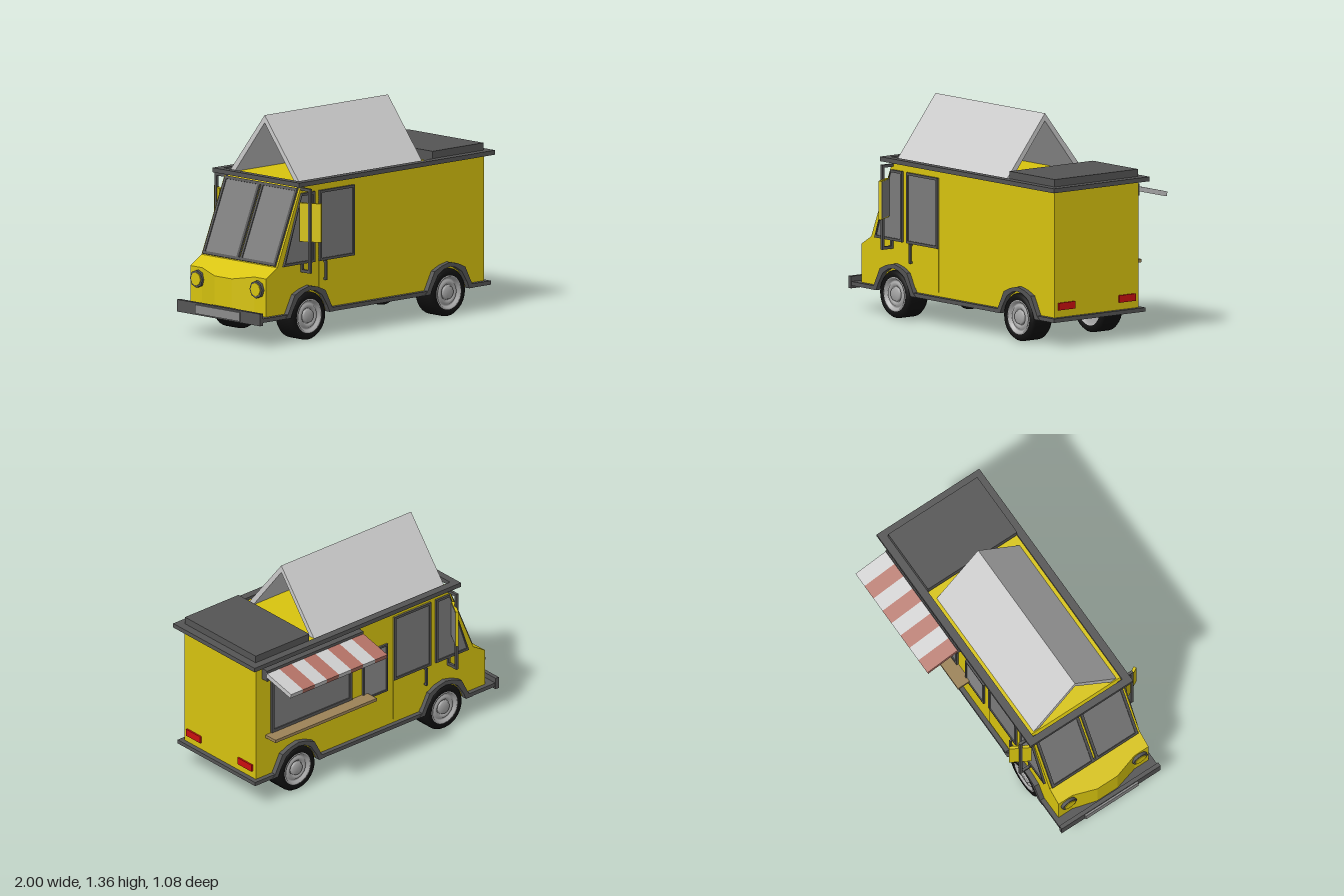
import * as THREE from 'three';

const mat = (color, opts = {}) => new THREE.MeshStandardMaterial({ color, ...opts });
const YELLOW = mat(0xd8c40f), DARK = mat(0x555555), GREY = mat(0xcccccc), GLASS = mat(0x7c7c7c);
const RED = mat(0xcc1010), STRIPE = mat(0xb27165), TAN = mat(0x9c8358), PLATE = mat(0x8c8c8c);
const TYRE = mat(0x101010, { side: THREE.DoubleSide }), RIM = mat(0xa8a8a8, { side: THREE.DoubleSide });
const W = 0.333; // half width of the body

export function createModel() {
  const truck = new THREE.Group();
  truck.name = 'foodTruck';
  truck.position.z = 0.07;

  const add = (name, geo, material, parent = truck) => {
    const m = new THREE.Mesh(geo, material);
    m.name = name;
    parent.add(m);
    return m;
  };
  // box given by its extents on each axis
  const box = (name, material, [x0, x1], [y0, y1], [z0, z1], parent = truck) => {
    const m = add(name, new THREE.BoxGeometry(x1 - x0, y1 - y0, Math.abs(z1 - z0)), material, parent);
    m.position.set((x0 + x1) / 2, (y0 + y1) / 2, (z0 + z1) / 2);
    return m;
  };
  const shapeOf = pts => new THREE.Shape(pts.map(p => new THREE.Vector2(...p)));
  const prism = (shape, z0, z1) => new THREE.ExtrudeGeometry(shape,
    { depth: Math.abs(z1 - z0), bevelEnabled: false }).translate(0, 0, Math.min(z0, z1));

  // body: side profile extruded across the width
  add('body', prism(shapeOf([[0.95, 0.165], [0.95, 0.972], [-0.602, 0.972], [-0.81, 0.475],
    [-0.905, 0.417], [-0.905, 0.165]]), -W, W), YELLOW);

  // nose: bulging plan whose top follows the hood slope
  const nose = new THREE.ExtrudeGeometry(shapeOf([[-0.9, -0.23], [-0.9, 0.23], [-0.905, 0.23],
    [-0.948, 0.075], [-0.948, -0.075], [-0.905, -0.23]]), { depth: 1, bevelEnabled: false });
  nose.rotateX(-Math.PI / 2);
  const np = nose.attributes.position;
  for (let i = 0; i < np.count; i++)
    np.setY(i, np.getY(i) < 0.5 ? 0.165 : 0.475 + 0.61 * (np.getX(i) + 0.81));
  nose.computeVertexNormals();
  add('nose', nose, YELLOW);

  // roof rim with an open deck, rear roof box
  const rim = shapeOf([[-0.67, -0.38], [1, -0.38], [1, 0.38], [-0.67, 0.38]]);
  rim.holes.push(new THREE.Path([[-0.625, -0.33], [-0.625, 0.33], [0.52, 0.33], [0.52, -0.33]]
    .map(p => new THREE.Vector2(...p))));
  add('roofRim', prism(rim, 0.962, 0.99).rotateX(-Math.PI / 2), DARK);
  box('roofBox', DARK, [0.515, 0.948], [0.985, 1.036], [-0.33, 0.33]);

  // tent-shaped sign board on the roof
  const sign = add('roofBoard', prism(shapeOf([[-0.308, 0.97], [-0.265, 0.97], [0, 1.308],
    [0.265, 0.97], [0.308, 0.97], [0, 1.355]]), -0.525, 0.525), GREY);
  sign.rotation.y = Math.PI / 2;
  sign.position.x = -0.07;

  // framed window lying on a side wall
  const sideWindow = (name, pts, s, t = 0.016, glass = GLASS) => {
    const g = new THREE.Group();
    g.name = name;
    truck.add(g);
    const xs = pts.map(p => p[0]), ys = pts.map(p => p[1]);
    const x0 = Math.min(...xs), x1 = Math.max(...xs), y0 = Math.min(...ys), y1 = Math.max(...ys);
    const cx = (x0 + x1) / 2, cy = (y0 + y1) / 2;
    const inner = pts.map(([x, y]) => [cx + (x - cx) * (1 - 2 * t / (x1 - x0)),
      cy + (y - cy) * (1 - 2 * t / (y1 - y0))]);
    const frame = shapeOf(pts);
    frame.holes.push(new THREE.Path(inner.map(p => new THREE.Vector2(...p))));
    add('frame', prism(frame, s * W, s * (W + 0.014)), DARK, g);
    add('pane', prism(shapeOf(inner), s * W, s * (W + 0.007)), glass, g);
  };
  const rect = (x0, x1, y0, y1) => [[x0, y0], [x1, y0], [x1, y1], [x0, y1]];

  for (const s of [1, -1]) {
    sideWindow('cabWindow', [[-0.765, 0.476], [-0.5, 0.476], [-0.5, 0.914], [-0.61, 0.914]], s);
    // door with window and grab handle
    box('door', YELLOW, [-0.46, -0.16], [0.205, 0.914], [s * (W - 0.01), s * (W + 0.004)]);
    sideWindow('doorWindow', rect(-0.46, -0.16, 0.476, 0.914), s);
    box('doorHandle', DARK, [-0.42, -0.408], [0.355, 0.475], [s * (W + 0.014), s * (W + 0.026)]);
    for (const y of [0.355, 0.463])
      box('handleMount', DARK, [-0.42, -0.408], [y, y + 0.012], [s * W, s * (W + 0.02)]);

    // mirror arm and angled mirror
    const bar = [-0.614, -0.597];
    box('mirrorArm', DARK, bar, [0.425, 0.95], [s * 0.402, s * 0.42]);
    for (const y of [0.425, 0.932]) box('mirrorBracket', DARK, bar, [y, y + 0.018], [s * 0.3, s * 0.42]);
    box('mirrorBracket', DARK, bar, [0.425, 0.48], [s * W, s * 0.347]);
    const mirror = new THREE.Group();
    mirror.name = 'mirror';
    mirror.position.set(-0.597, 0.74, s * 0.407);
    mirror.rotation.y = s * 0.52;
    truck.add(mirror);
    box('mirrorShell', YELLOW, [-0.01, 0.008], [-0.12, 0.12], [-0.068, 0.068], mirror);
    box('mirrorGlass', GLASS, [0.006, 0.01], [-0.114, 0.114], [-0.064, 0.064], mirror);

    // headlight
    const lamp = (name, r, h, x, m) => {
      const l = add(name, new THREE.CylinderGeometry(r, r, h, 8), m);
      l.rotation.z = Math.PI / 2;
      l.position.set(x, 0.345, s * 0.262);
    };
    lamp('headlightRing', 0.055, 0.025, -0.912, DARK);
    lamp('headlightLens', 0.042, 0.03, -0.914, YELLOW);

    box('tailLight', RED, [0.94, 0.961], [0.225, 0.27], [s * 0.175, s * 0.305]);

    // skirt segments between the wheels
    for (const x of [[-0.965, -0.74], [-0.38, 0.45], [0.81, 0.98]])
      box('sideSkirt', DARK, x, [0.155, 0.18], [s * (W - 0.04), s * 0.362]);

    // wheels with faceted arches
    for (const x of [-0.56, 0.63]) {
      const arch = shapeOf([[-0.215, 0.155], [-0.19, 0.18], [-0.13, 0.295], [-0.07, 0.322], [0, 0.338],
        [0.07, 0.322], [0.13, 0.295], [0.19, 0.18], [0.215, 0.155], [0.165, 0.155], [0.145, 0.2],
        [0.1, 0.27], [0.05, 0.3], [0, 0.31], [-0.05, 0.3], [-0.1, 0.27], [-0.145, 0.2], [-0.165, 0.155]]);
      const a = add('wheelArch', prism(arch, s * 0.3, s * 0.365), DARK);
      a.position.x = x;
      const wheel = new THREE.Group();
      wheel.name = 'wheel';
      wheel.position.set(x, 0.148, s * 0.279);
      wheel.rotation.x = s * Math.PI / 2;
      truck.add(wheel);
      const lathe = (name, pts, m) => add(name,
        new THREE.LatheGeometry(pts.map(p => new THREE.Vector2(...p)), 28), m, wheel);
      lathe('tyre', [[0.105, -0.07], [0.108, -0.078], [0.135, -0.078], [0.148, -0.06], [0.148, 0.06],
        [0.135, 0.078], [0.108, 0.078], [0.105, 0.07]], TYRE);
      lathe('wheelRim', [[0.107, 0.074], [0.098, 0.078], [0.088, 0.06], [0.078, 0.06], [0.072, 0.068],
        [0.055, 0.068], [0.05, 0.06], [0.044, 0.06], [0.04, 0.075], [0, 0.075]], RIM);
      lathe('rimBack', [[0, -0.05], [0.09, -0.05], [0.107, -0.074]], RIM);
    }
  }

  // cross skirts and bumper
  box('frontSkirt', DARK, [-0.968, -0.9], [0.155, 0.18], [-0.362, 0.362]);
  box('rearSkirt', DARK, [0.91, 0.98], [0.155, 0.18], [-0.362, 0.362]);
  box('bumper', DARK, [-0.988, -0.962], [0.138, 0.213], [-0.366, 0.366]);
  box('bumperPanel', PLATE, [-1, -0.985], [0.148, 0.203], [-0.195, 0.195]);

  // split windscreen on the slanted front
  const screen = new THREE.Group();
  screen.name = 'windscreen';
  screen.position.set(-0.81, 0.475, 0);
  screen.rotation.z = -Math.atan2(0.208, 0.497);
  truck.add(screen);
  for (const s of [1, -1]) {
    box('pane', GLASS, [-0.006, 0.01], [0.01, 0.5], [s * 0.01, s * 0.315], screen);
    for (const z of [0.007, 0.3])
      box('post', DARK, [-0.012, 0.01], [0.005, 0.505], [s * z, s * (z + 0.018)], screen);
  }
  for (const y of [0.005, 0.487])
    box('crossbar', DARK, [-0.012, 0.01], [y, y + 0.018], [-0.318, 0.318], screen);

  // serving side: hatch, small window, counter and striped awning
  sideWindow('servingHatch', rect(0.18, 0.83, 0.465, 0.885), -1, 0.02);
  sideWindow('menuWindow', rect(-0.11, 0.09, 0.424, 0.75), -1, 0.012, PLATE);
  box('counter', TAN, [0.05, 0.87], [0.441, 0.461], [-W, -0.425]);
  box('awningBox', DARK, [0.12, 0.9], [0.862, 0.935], [-W, -0.382]);
  const awning = new THREE.Group();
  awning.name = 'awning';
  awning.position.set(0.12, 0.905, -0.37);
  awning.rotation.x = -0.235;
  truck.add(awning);
  for (let i = 0; i < 8; i++)
    box('awningStripe', i % 2 ? GREY : STRIPE, [i * 0.0975, (i + 1) * 0.0975], [-0.015, 0.015], [-0.238, 0], awning);

  const root = new THREE.Group();
  root.name = 'model';
  root.add(truck);
  return root;
}
